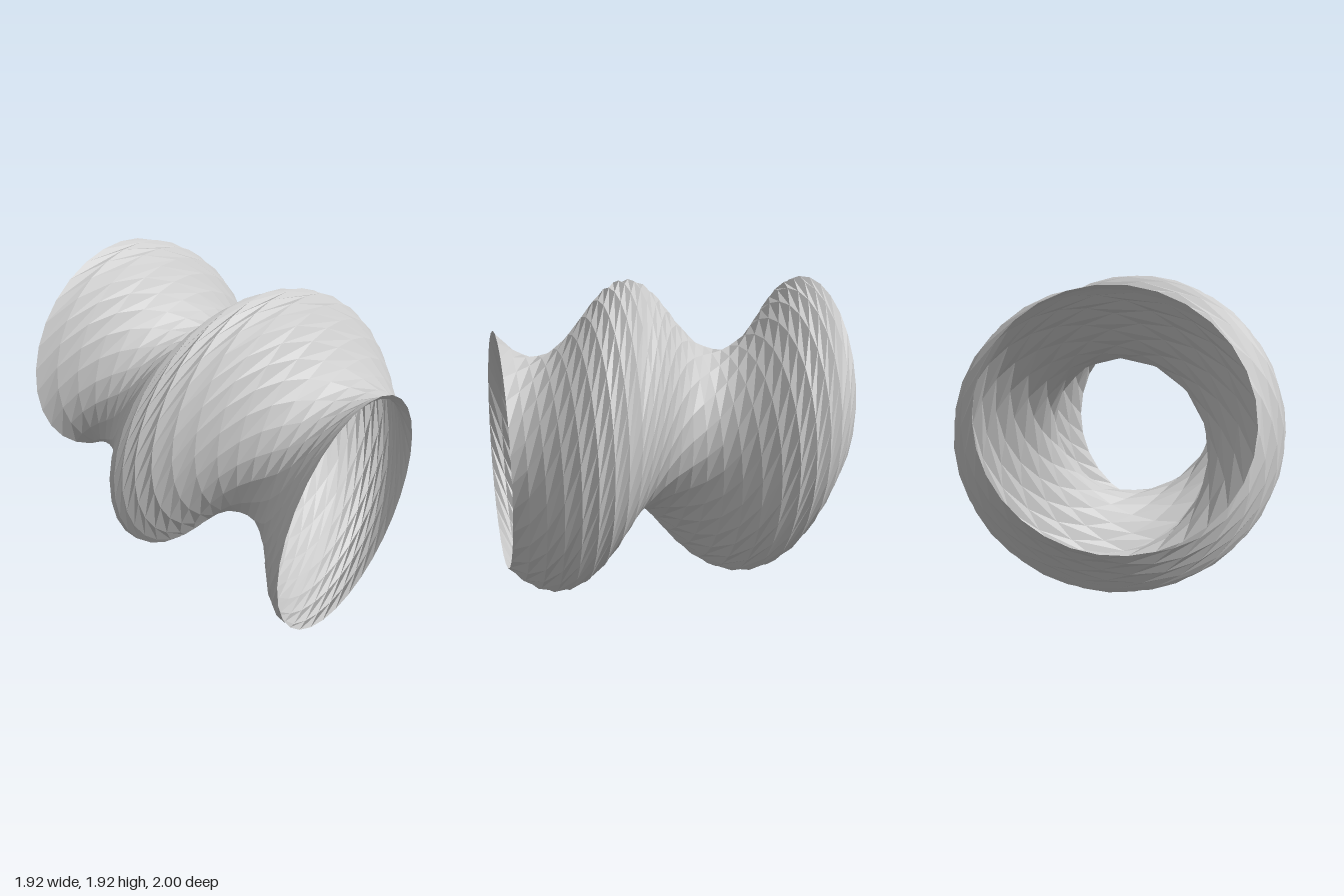
import * as THREE from 'three';

// An off-centre oval ring, swept along z while it twists about the axis.
const SIDES = 30;
const SLICES = 24;
const TWIST = THREE.MathUtils.degToRad(-600);
const LENGTH = 2;
const OFFSET = 0.23;
const RADIUS_X = 0.763;
const RADIUS_Y = 0.734;
const AXIS_HEIGHT = 0.965;

function twistedTube() {
  const positions = [];
  const indices = [];
  const p = new THREE.Vector2();
  const axis = new THREE.Vector2(0, 0);

  // cross-sections, from back to front
  for (let i = 0; i <= SLICES; i++) {
    const t = i / SLICES;
    for (let j = 0; j < SIDES; j++) {
      const a = (j / SIDES) * Math.PI * 2;
      p.set(RADIUS_X * Math.cos(a), OFFSET + RADIUS_Y * Math.sin(a));
      p.rotateAround(axis, TWIST * t);
      positions.push(p.x, p.y + AXIS_HEIGHT, (t - 0.5) * LENGTH);
    }
  }

  // skin, split along the shorter diagonal
  for (let i = 0; i < SLICES; i++) {
    for (let j = 0; j < SIDES; j++) {
      const k = (j + 1) % SIDES;
      const a = i * SIDES + j;
      const b = i * SIDES + k;
      const c = a + SIDES;
      const d = b + SIDES;
      indices.push(a, b, d, a, d, c);
    }
  }

  const geometry = new THREE.BufferGeometry();
  geometry.setAttribute('position', new THREE.Float32BufferAttribute(positions, 3));
  geometry.setIndex(indices);
  const faceted = geometry.toNonIndexed();
  faceted.computeVertexNormals();
  return faceted;
}

export function createModel() {
  const group = new THREE.Group();
  group.name = 'twistedTubeSculpture';
  const material = new THREE.MeshStandardMaterial({
    color: 0xcccccc,
    flatShading: true,
    side: THREE.DoubleSide, // open at both ends
  });
  const tube = new THREE.Mesh(twistedTube(), material);
  tube.name = 'twistedTube';
  group.add(tube);
  return group;
}
